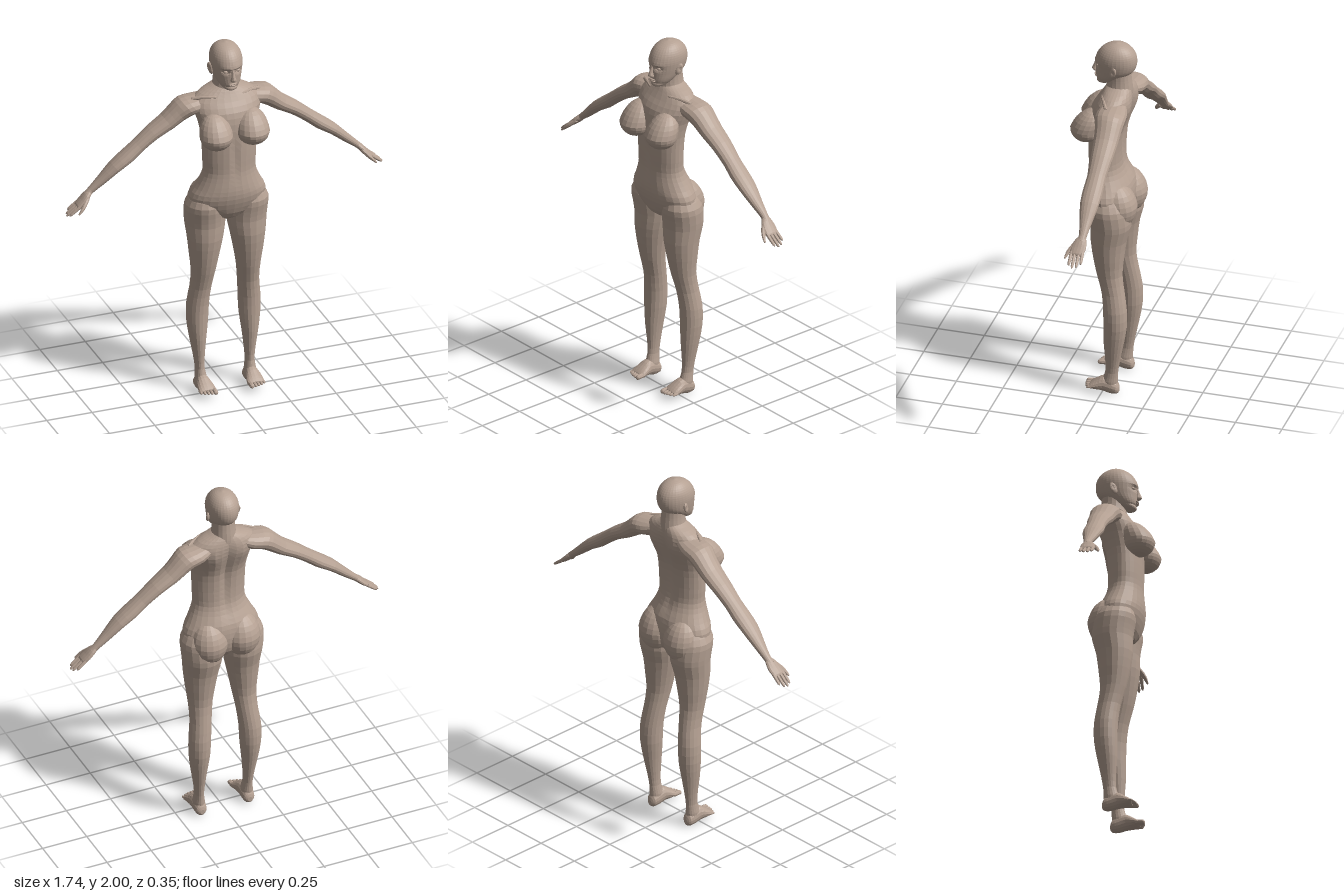
import * as THREE from 'three';

const skin = new THREE.MeshStandardMaterial({ color: 0xb5a193, flatShading: true });
skin.name = 'skin';

const X = [1, 0, 0], Y = [0, 1, 0], Z = [0, 0, 1];

// Lofts ellipses [x, y, z, radiusU, radiusV] along a smooth path; side = -1 mirrors in x.
function loft(name, sections, u, v, { side = 1, sides = 16, steps = 3, warp } = {}) {
  const path = new THREE.CatmullRomCurve3(sections.map(s => new THREE.Vector3(s[0] * side, s[1], s[2])), false, 'catmullrom', 0.5);
  const radii = new THREE.CatmullRomCurve3(sections.map(s => new THREE.Vector3(s[3], s[4], 0)), false, 'catmullrom', 0.5);
  const U = new THREE.Vector3(u[0] * side, u[1], u[2]), V = new THREE.Vector3(...v);
  const n = (sections.length - 1) * steps;
  const pos = [], index = [];
  const ends = path.getPoint(1).sub(path.getPoint(0));
  const flip = new THREE.Vector3().crossVectors(U, V).dot(ends) < 0;
  const tri = (a, b, c) => (flip ? index.push(a, c, b) : index.push(a, b, c));
  const add = p => { if (warp) warp(p); pos.push(p.x, p.y, p.z); };
  for (let i = 0; i <= n; i++) {
    const c = path.getPoint(i / n), r = radii.getPoint(i / n);
    for (let j = 0; j < sides; j++) {
      const t = (j / sides) * Math.PI * 2;
      add(c.clone().addScaledVector(U, Math.max(r.x, 0.001) * Math.cos(t)).addScaledVector(V, Math.max(r.y, 0.001) * Math.sin(t)));
    }
  }
  for (let i = 0; i < n; i++) for (let j = 0; j < sides; j++) {
    const a = i * sides + j, b = i * sides + (j + 1) % sides;
    tri(a, b, b + sides);
    tri(a, b + sides, a + sides);
  }
  add(path.getPoint(0));
  add(path.getPoint(1));
  const first = (n + 1) * sides;
  for (let j = 0; j < sides; j++) {
    const k = (j + 1) % sides;
    tri(first, k, j);
    tri(first + 1, n * sides + j, n * sides + k);
  }
  return finish(name, pos, index);
}

function finish(name, pos, index) {
  const g = new THREE.BufferGeometry();
  g.setAttribute('position', new THREE.Float32BufferAttribute(pos, 3));
  g.setIndex(index);
  g.computeVertexNormals();
  const m = new THREE.Mesh(g, skin);
  m.name = name;
  return m;
}

// Ellipsoid with an optional rule that moves its vertices (offsets from the centre).
function ball(name, c, r, warp, w = 16, h = 12) {
  const g = new THREE.SphereGeometry(1, w, h).scale(...r);
  const p = g.attributes.position, q = new THREE.Vector3();
  for (let i = 0; i < p.count; i++) {
    q.fromBufferAttribute(p, i);
    if (warp) warp(q);
    p.setXYZ(i, q.x, q.y, q.z);
  }
  g.translate(...c).computeVertexNormals();
  const m = new THREE.Mesh(g, skin);
  m.name = name;
  return m;
}

const bump = (d, w) => Math.exp(-(d * d) / (w * w));
// Horizontal section from its height, half width, back and front
const ring = (y, a, back, front, x = 0) => [x, y, (back + front) / 2, a, (front - back) / 2];

function makeTorso() {
  return loft('torso', [
    ring(0.99, 0.03, -0.09, 0.0), ring(1.03, 0.11, -0.12, 0.06), ring(1.09, 0.195, -0.135, 0.09),
    ring(1.15, 0.207, -0.135, 0.108), ring(1.2, 0.182, -0.125, 0.112), ring(1.25, 0.157, -0.1, 0.108),
    ring(1.3, 0.142, -0.083, 0.104), ring(1.36, 0.144, -0.08, 0.105), ring(1.42, 0.146, -0.082, 0.106),
    ring(1.5, 0.15, -0.09, 0.105), ring(1.58, 0.163, -0.112, 0.1), ring(1.64, 0.182, -0.127, 0.085),
    ring(1.69, 0.18, -0.132, 0.052), ring(1.725, 0.14, -0.128, 0.03), ring(1.75, 0.085, -0.12, 0.015),
    ring(1.765, 0.055, -0.11, 0.0),
  ], X, Z, {
    sides: 28, steps: 2,
    warp: p => {
      if (p.z < -0.04) p.z += 0.02 * bump(p.x, 0.03) * bump(p.y - 1.5, 0.22);        // spine furrow
      if (p.z < -0.04) p.z -= 0.012 * bump(Math.abs(p.x) - 0.09, 0.045) * bump(p.y - 1.63, 0.07); // shoulder blades
      if (p.z > 0.03) p.z -= 0.008 * bump(p.x, 0.02) * bump(p.y - 1.4, 0.12);         // midline
    },
  });
}

function makeHead() {
  const head = new THREE.Group();
  head.name = 'head';
  head.add(loft('skull', [
    ring(1.758, 0.012, 0.025, 0.052), ring(1.768, 0.034, -0.005, 0.066), ring(1.785, 0.05, -0.045, 0.07),
    ring(1.81, 0.064, -0.085, 0.072), ring(1.84, 0.074, -0.125, 0.073), ring(1.87, 0.08, -0.141, 0.075),
    ring(1.905, 0.083, -0.145, 0.074), ring(1.94, 0.078, -0.137, 0.06), ring(1.97, 0.062, -0.115, 0.035),
    ring(1.99, 0.038, -0.082, 0.0), ring(2, 0.004, -0.045, -0.035),
  ], X, Z, {
    sides: 32, steps: 3,
    warp: p => {
      if (p.z < 0) return;
      const ax = Math.abs(p.x);
      p.z -= 0.013 * bump(ax - 0.033, 0.018) * bump(p.y - 1.873, 0.013);  // eye sockets
      p.z += 0.004 * bump(ax - 0.03, 0.03) * bump(p.y - 1.895, 0.01);     // brows
      p.z -= 0.005 * bump(p.y - 1.785, 0.006);                           // chin crease
    },
  }));
  // Nose, from bridge to nostrils
  head.add(loft('nose', [
    [0, 1.885, 0.068, 0.007, 0.008], [0, 1.865, 0.073, 0.008, 0.01], [0, 1.845, 0.077, 0.011, 0.014],
    [0, 1.83, 0.077, 0.016, 0.018], [0, 1.82, 0.073, 0.013, 0.011],
  ], X, Z, { sides: 10, steps: 2 }));
  head.add(ball('upperLip', [0, 1.805, 0.069], [0.023, 0.0055, 0.011], null, 14, 8));
  head.add(ball('lowerLip', [0, 1.796, 0.068], [0.02, 0.006, 0.011], null, 14, 8));
  for (const s of [1, -1]) {
    head.add(ball('eye', [s * 0.032, 1.872, 0.051], [0.014, 0.009, 0.012], null, 12, 8));
    head.add(ball('ear', [s * 0.083, 1.86, -0.04], [0.011, 0.031, 0.018], q => {
      q.z -= q.y * 0.25;
      q.x += s * (-q.z * 0.35 - 0.006 * bump(q.y - 0.003, 0.012) * bump(q.z, 0.009));
    }, 14, 12));
  }
  head.add(loft('neck', [
    ring(1.67, 0.075, -0.12, 0.02), ring(1.72, 0.072, -0.124, 0.02), ring(1.76, 0.064, -0.121, 0.015),
    ring(1.8, 0.06, -0.116, 0.012), ring(1.85, 0.06, -0.112, 0.01),
  ], X, Z, { sides: 18 }));
  return head;
}

function makeArm(side) {
  const arm = new THREE.Group();
  arm.name = side > 0 ? 'leftArm' : 'rightArm';
  const across = [0.61, 0.79, 0];
  const part = (name, s, opt) => arm.add(loft(name, s, across, Z, { side, ...opt }));
  part('armLength', [
    [0.1, 1.685, -0.06, 0.035, 0.06], [0.155, 1.667, -0.06, 0.052, 0.078], [0.21, 1.655, -0.062, 0.056, 0.08],
    [0.255, 1.625, -0.067, 0.05, 0.071], [0.31, 1.58, -0.07, 0.043, 0.065], [0.39, 1.53, -0.072, 0.037, 0.058],
    [0.47, 1.468, -0.071, 0.034, 0.05], [0.53, 1.42, -0.07, 0.035, 0.053], [0.6, 1.37, -0.07, 0.03, 0.05],
    [0.67, 1.307, -0.072, 0.024, 0.034], [0.73, 1.255, -0.074, 0.018, 0.021], [0.755, 1.233, -0.07, 0.017, 0.024],
  ], { sides: 16, steps: 2 });
  part('palm', [
    [0.735, 1.25, -0.073, 0.014, 0.02], [0.755, 1.232, -0.068, 0.017, 0.033], [0.78, 1.208, -0.065, 0.015, 0.04],
    [0.805, 1.187, -0.062, 0.012, 0.037], [0.812, 1.181, -0.062, 0.007, 0.033],
  ], { sides: 14, steps: 2 });
  // Four fingers, fanned slightly in z
  [[-0.092, 0.849], [-0.073, 0.865], [-0.053, 0.87], [-0.034, 0.86]].forEach(([z, tip]) => {
    const x0 = 0.797, y0 = 1.193, k = tip - x0;
    part('finger', [0, 0.4, 0.85, 1].map((t, i) => [
      x0 + k * t, y0 - k * 0.76 * t, z * (1 + 0.05 * t), [0.009, 0.0085, 0.007, 0.003][i], [0.0095, 0.009, 0.0075, 0.003][i],
    ]), { sides: 8, steps: 2 });
  });
  part('thumb', [
    [0.752, 1.23, -0.05, 0.012, 0.014], [0.778, 1.203, -0.027, 0.012, 0.014],
    [0.8, 1.18, -0.012, 0.009, 0.01], [0.82, 1.16, -0.004, 0.004, 0.005],
  ], { sides: 8, steps: 2 });
  return arm;
}

function makeLeg(side) {
  const leg = new THREE.Group();
  leg.name = side > 0 ? 'leftLeg' : 'rightLeg';
  // Leg section from its height, inner and outer x, back and front z
  const span = (y, inner, outer, back, front) => ring(y, (outer - inner) / 2, back, front, (inner + outer) / 2);
  leg.add(loft('legLength', [
    span(1.16, 0.05, 0.19, -0.1, 0.06), span(1.1, 0.015, 0.224, -0.135, 0.082), span(1.04, 0.008, 0.225, -0.145, 0.074),
    span(0.98, 0.008, 0.22, -0.145, 0.066), span(0.9, 0.022, 0.211, -0.124, 0.066), span(0.8, 0.042, 0.2, -0.111, 0.052),
    span(0.7, 0.06, 0.188, -0.103, 0.031), span(0.6, 0.074, 0.188, -0.117, 0.004), span(0.5, 0.083, 0.2, -0.132, -0.008),
    span(0.4, 0.088, 0.2, -0.132, -0.01), span(0.3, 0.1, 0.187, -0.116, -0.011), span(0.2, 0.11, 0.17, -0.096, -0.018),
    span(0.13, 0.113, 0.162, -0.085, -0.017), span(0.08, 0.105, 0.167, -0.083, -0.002), span(0.04, 0.105, 0.165, -0.08, 0.0),
  ], X, Z, { side, sides: 18, steps: 2 }));
  leg.add(loft('foot', [
    [0.135, 0.032, -0.09, 0.012, 0.014], [0.135, 0.04, -0.078, 0.029, 0.034], [0.135, 0.048, -0.045, 0.034, 0.044],
    [0.135, 0.057, -0.01, 0.037, 0.044], [0.134, 0.05, 0.025, 0.044, 0.031], [0.133, 0.043, 0.052, 0.047, 0.019],
    [0.133, 0.041, 0.065, 0.042, 0.01],
  ], X, Y, { side, sides: 16, steps: 2 }));
  // Toes, large on the inner side
  for (let i = 0; i < 5; i++) {
    const x = 0.1 + i * 0.0175 + (i ? 0.003 : 0), r = i ? 0.0095 - i * 0.0006 : 0.013, tip = 0.094 - i * i * 0.0012;
    leg.add(loft('toe', [
      [x, 0.041, 0.045, r, r], [x, 0.041, (0.05 + tip) / 2, r, r], [x, 0.039, tip - 0.006, r * 0.95, r * 0.9], [x, 0.038, tip, r * 0.4, r * 0.4],
    ], X, Y, { side, sides: 8, steps: 2 }));
  }
  return leg;
}

export function createModel() {
  const figure = new THREE.Group();
  figure.name = 'figure';
  figure.add(makeTorso(), makeHead());
  for (const s of [1, -1]) {
    figure.add(makeArm(s), makeLeg(s));
    // Chest mass: full below, drawn up and back toward the collarbone
    figure.add(ball('chest', [s * 0.101, 1.532, 0.095], [0.087, 0.076, 0.085], q => {
      if (q.y > 0) { q.z -= q.y * 0.55; q.y *= 1.5; }
    }, 18, 14));
    // Seat mass
    figure.add(ball('seat', [s * 0.092, 1.095, -0.08], [0.098, 0.125, 0.093], q => {
      if (q.y > 0) q.z += q.y * 0.15;
    }, 18, 14));
    // Collarbone
    figure.add(loft('collarbone', [
      [0.02, 1.705, 0.026, 0.008, 0.008], [0.08, 1.715, 0.016, 0.009, 0.009], [0.14, 1.713, -0.01, 0.009, 0.009], [0.19, 1.7, -0.035, 0.01, 0.01],
    ], Y, Z, { side: s, sides: 8, steps: 2 }));
  }
  return figure;
}
